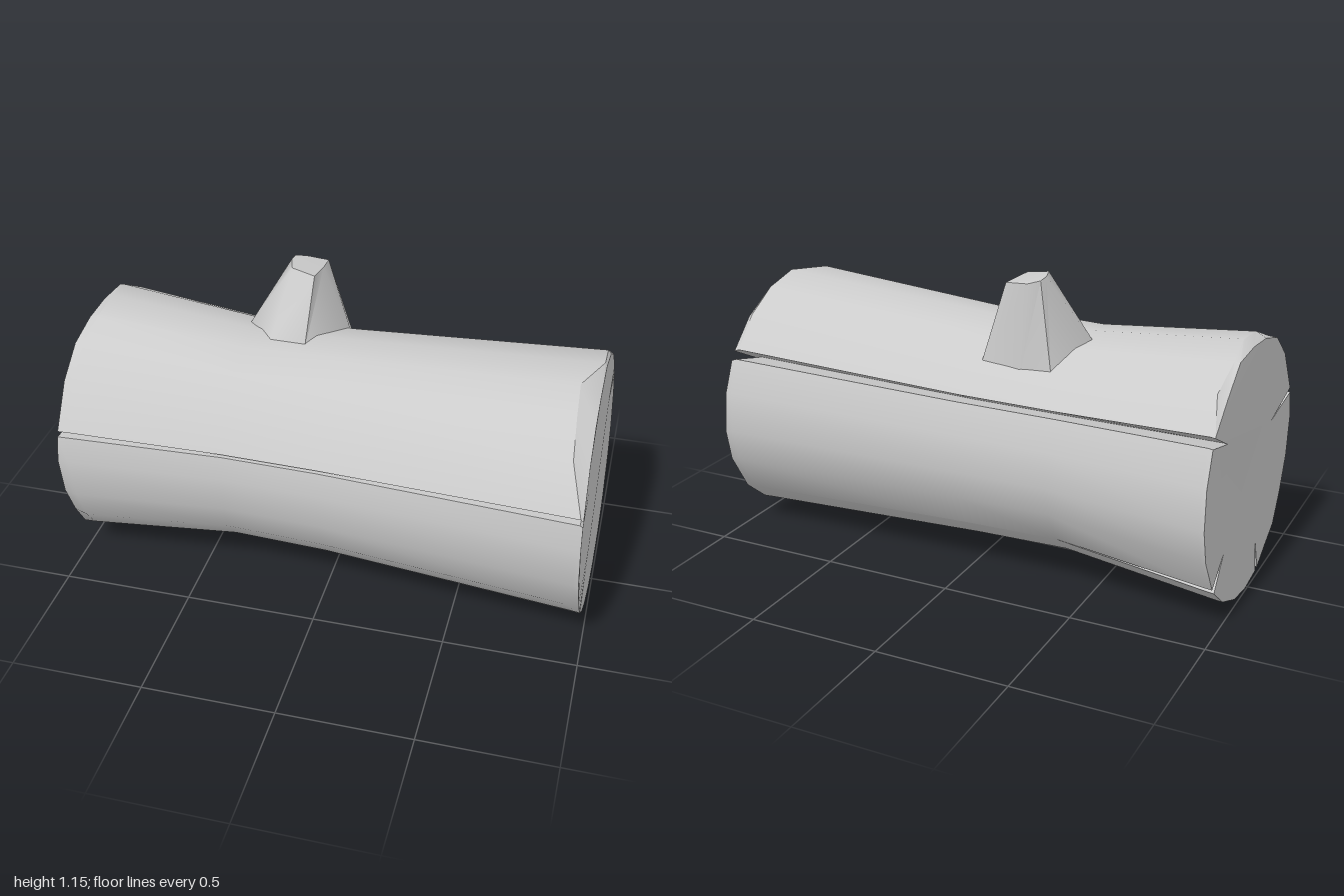
import * as THREE from 'three';
import { mergeGeometries, toCreasedNormals } from 'three/addons/utils/BufferGeometryUtils.js';

const material = new THREE.MeshStandardMaterial({ color: 0xcccccc });
const rad = THREE.MathUtils.degToRad;
const lerp = THREE.MathUtils.lerp;

function trianglesToGeometry(triangles, crease) {
  const geometry = new THREE.BufferGeometry().setFromPoints(triangles);
  return toCreasedNormals(geometry, crease);
}

// Skin a list of closed rings and cap the ends; flatten() projects a point for the caps
function loft(rings, crease, flatten, capStart) {
  const sides = [], caps = [];
  const n = rings[0].length;
  for (let i = 0; i < rings.length - 1; i++) {
    for (let j = 0; j < n; j++) {
      const k = (j + 1) % n;
      const a = rings[i][j], b = rings[i + 1][j], c = rings[i + 1][k], d = rings[i][k];
      sides.push(a, b, d, b, c, d);
    }
  }
  const addCap = (ring, reverse) => {
    for (const [a, b, c] of THREE.ShapeUtils.triangulateShape(ring.map(flatten), [])) {
      if (reverse) caps.push(ring[a], ring[c], ring[b]);
      else caps.push(ring[a], ring[b], ring[c]);
    }
  };
  if (capStart) addCap(rings[0], false);
  addCap(rings[rings.length - 1], true);
  return mergeGeometries([trianglesToGeometry(sides, crease), trianglesToGeometry(caps, 0.5)]);
}

// Cross-sections along the log: x, centre y, centre z, radius
const stations = [
  [-0.99, 0.49, -0.03, 0.485],
  [-0.96, 0.492, -0.029, 0.485],
  [-0.37, 0.495, -0.01, 0.428],
  [0, 0.495, -0.005, 0.437],
  [0.95, 0.5, 0.028, 0.492],
  [0.975, 0.492, 0.03, 0.488],
];

// Plain corners, in degrees from the front (+z) towards the top
const corners = [5, 42, 60, 77, 94, 112, 130, 168, 186, 201, 239, 257, 272, 300, 328, 346];

// Cracks: angle, half width, angle and radius of the deepest line, opening per station
const cracks = [
  { angle: 18, half: 1.2, tip: 27, depth: 0.5, open: [1, 1, 0.6, 0.6, 1, 1] },
  { angle: 150, half: 2.2, tip: 145, depth: 0.67, open: [1, 1, 0.8, 0.8, 1, 1] },
  { angle: 222, half: 1.8, tip: 221, depth: 0.7, open: [1, 1, 0, 0, 0, 0] },
  { angle: 287, half: 1.3, tip: 287, depth: 0.68, open: [1, 1, 0, 0, 0, 0] },
  { angle: 313, half: 1.4, tip: 318, depth: 0.52, open: [0, 0, 0, 0.35, 1, 1] },
];

// How much the rim is worn away at some corners of each end
const wornRight = { 42: 0.75, 60: 0.9, 77: 1, 328: 0.4 };
const wornLeft = { 77: 0.6, 94: 0.7, 130: 0.7, 300: 0.5, 328: 0.6, 346: 0.5 };

function logRing(index) {
  const [x, cy, cz, r] = stations[index];
  const last = stations.length - 1;
  const worn = index < 2 ? wornLeft : index > last - 2 ? wornRight : {};

  const place = (degrees, scale, wear) => {
    const c = Math.cos(rad(degrees)), s = Math.sin(rad(degrees));
    let px = x, pr = r * scale;
    if (index === 0) px += 0.005 * s - 0.012 * c;
    if (index === last) px -= 0.018 * s + 0.01 * c;
    if (index === 1) px += 0.02 * wear;
    if (index === last - 1) px -= 0.07 * wear;
    if (index === 0 || index === last) pr *= 1 - 0.06 * wear;
    return new THREE.Vector3(px, cy + pr * s, cz + pr * c);
  };

  const slots = corners.map((angle) => ({ angle, points: [place(angle, 1, worn[angle] || 0)] }));
  for (const { angle, half, tip, depth, open } of cracks) {
    const o = open[index], w = Math.max(half * o, 0.1);
    slots.push({
      angle,
      points: [
        place(angle - w, 1, 0),
        place(lerp(angle, tip, o), lerp(1, depth, o), 0),
        place(angle + w, 1, 0),
      ],
    });
  }
  return slots.sort((a, b) => a.angle - b.angle).flatMap((slot) => slot.points);
}

// Outlines of the branch stub seen from above: x, z at the foot and x, y, z at the cut
const stubFoot = [
  [-0.32, -0.28], [-0.2, -0.29], [-0.04, -0.28], [-0.02, -0.17],
  [-0.15, 0.04], [-0.29, 0.03], [-0.41, -0.1],
];
const stubCut = [
  [-0.26, 1.145, -0.245], [-0.22, 1.135, -0.268], [-0.135, 1.13, -0.265], [-0.138, 1.13, -0.2],
  [-0.15, 1.135, -0.115], [-0.24, 1.15, -0.13], [-0.262, 1.15, -0.2],
];

export function createModel() {
  const group = new THREE.Group();

  // Waisted log with split sides
  const log = new THREE.Mesh(
    loft(stations.map((_, i) => logRing(i)), 0.55, (p) => new THREE.Vector2(p.z, p.y), true),
    material,
  );
  log.name = 'log';

  // Sawn-off branch, its foot sunk just under the bark
  const foot = stubFoot.map(([x, z]) =>
    new THREE.Vector3(x, 0.495 + Math.sqrt(0.425 ** 2 - (z + 0.01) ** 2) - 0.015, z));
  const cut = stubCut.map((p) => new THREE.Vector3(...p));
  const branch = new THREE.Mesh(
    loft([foot, cut], 1.3, (p) => new THREE.Vector2(p.x, p.z), false),
    material,
  );
  branch.name = 'branchStub';

  group.add(log, branch);
  return group;
}
